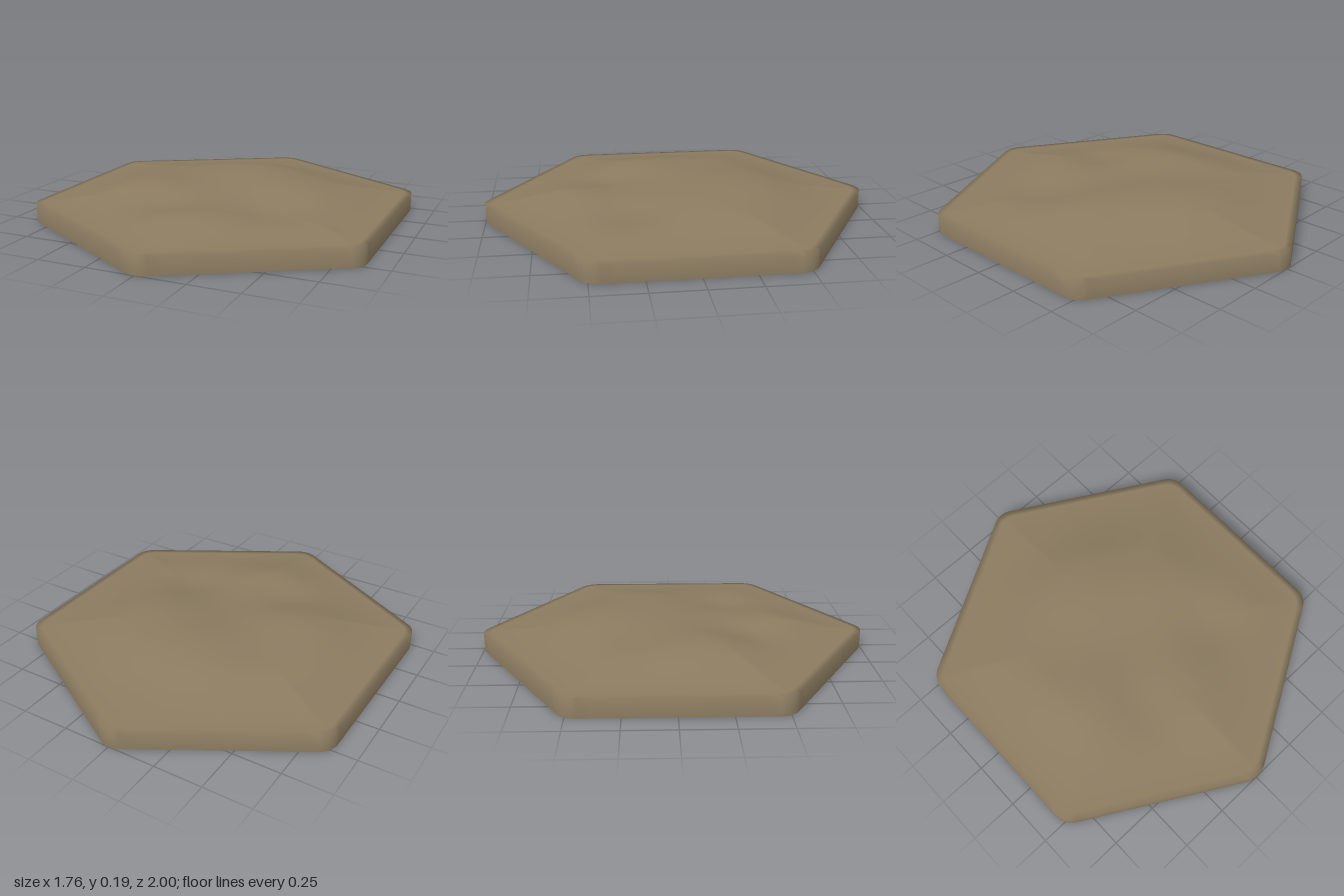
import * as THREE from 'three';
import { mergeVertices } from 'three/addons/utils/BufferGeometryUtils.js';

const APOTHEM = 0.88, CORNER = 0.105, RIM = 0.095;

// Soft mounds and hollows: x, z, height, spread
const BUMPS = [
  [0.03, -0.3, 0.043, 0.22], [-0.34, 0.16, 0.026, 0.15], [0.33, -0.1, 0.02, 0.15],
  [0, 0.58, 0.015, 0.16], [0.38, 0.3, -0.03, 0.14], [-0.2, 0.42, -0.025, 0.12],
  [-0.6, 0, 0.018, 0.2], [0, -0.7, -0.015, 0.15],
];

// Ground height: flat at the rim, rising inward to rolling terrain
function groundHeight(x, z) {
  let edge = Infinity;
  for (let k = 0; k < 6; k++) {
    const a = k * Math.PI / 3;
    edge = Math.min(edge, APOTHEM - x * Math.cos(a) + z * Math.sin(a));
  }
  let h = 0.05;
  for (const [bx, bz, amp, s] of BUMPS) {
    h += amp * Math.exp(-((x - bx) ** 2 + (z - bz) ** 2) / (2 * s * s));
  }
  return RIM + h * THREE.MathUtils.smoothstep(edge, 0, 0.45);
}

// Hexagon outline with rounded corners, points towards front and back
function hexOutline(arcSteps = 6, sideSteps = 14) {
  const reach = (APOTHEM - CORNER) / Math.cos(Math.PI / 6);
  const arcPoint = (k, t) => {
    const mid = (k + 0.5) * Math.PI / 3, a = mid + (t - 0.5) * Math.PI / 3;
    return new THREE.Vector2(
      reach * Math.cos(mid) + CORNER * Math.cos(a),
      -reach * Math.sin(mid) - CORNER * Math.sin(a));
  };
  const pts = [];
  for (let k = 0; k < 6; k++) {
    for (let i = 0; i <= arcSteps; i++) pts.push(arcPoint(k, i / arcSteps));
    const from = arcPoint(k, 1), to = arcPoint(k + 1, 0);
    for (let i = 1; i < sideSteps; i++) pts.push(from.clone().lerp(to, i / sideSteps));
  }
  return pts;
}

// Wall and terrain as one smooth skin, open underneath
function tileGeometry(rings = 26) {
  const outline = hexOutline(), n = outline.length;
  const pos = [], index = [];
  for (const p of outline) pos.push(p.x, 0, p.y);
  for (let j = 0; j <= rings; j++) {
    const s = 1 - j / rings;
    for (const p of outline) {
      const x = p.x * s, z = p.y * s;
      pos.push(x, j === 0 ? RIM : groundHeight(x, z), z);
    }
  }
  for (let j = 0; j <= rings; j++) {
    for (let i = 0; i < n; i++) {
      const k = (i + 1) % n;
      const a = j * n + i, b = j * n + k, c = a + n, d = b + n;
      index.push(a, b, c);
      if (j < rings) index.push(b, d, c);
    }
  }
  const geo = new THREE.BufferGeometry();
  geo.setAttribute('position', new THREE.Float32BufferAttribute(pos, 3));
  geo.setIndex(index);
  const merged = mergeVertices(geo);
  merged.computeVertexNormals();
  return merged;
}

export function createModel() {
  const group = new THREE.Group();
  group.name = 'hexTile';
  const earth = new THREE.MeshStandardMaterial({ color: 0x8b7b60, side: THREE.DoubleSide });
  const tile = new THREE.Mesh(tileGeometry(), earth);
  tile.name = 'groundTile';
  group.add(tile);
  return group;
}
